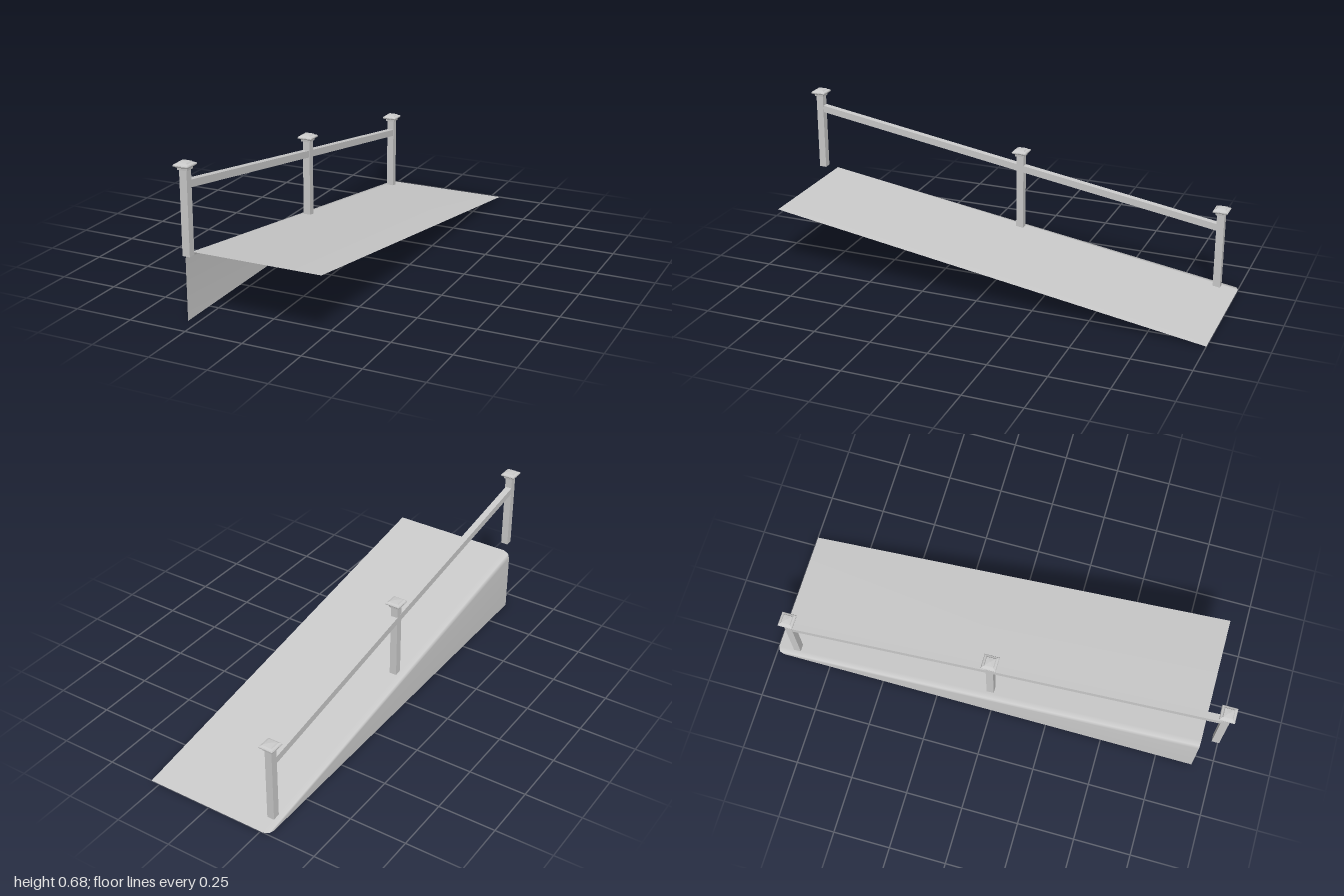
import * as THREE from 'three';

export function createModel() {
  const group = new THREE.Group();
  group.name = 'rampWithHandrail';
  const sheetMat = new THREE.MeshStandardMaterial({ color: 0xcccccc, side: THREE.DoubleSide });
  const postMat = new THREE.MeshStandardMaterial({ color: 0xcccccc, flatShading: true });

  const add = (name, geometry, material, parent = group) => {
    const mesh = new THREE.Mesh(geometry, material);
    mesh.name = name;
    parent.add(mesh);
    return mesh;
  };

  // Ramp: thin sheet lofted from the tall front section to the flat back edge,
  // with a rounded shoulder folding down into the side wall
  const front = [[0.2915, 0.293], [-0.263, 0.293], [-0.2845, 0.282], [-0.2915, 0.26], [-0.2915, 0]];
  const back = [[0.2915, -1], [-0.263, -1], [-0.2845, -0.99], [-0.2915, -0.968]];
  const positions = [];
  front.forEach(([x, y]) => positions.push(x, y, 0.911));
  back.forEach(([x, z]) => positions.push(x, 0, z));
  const index = [];
  const n = front.length;
  for (let i = 0; i < n - 1; i++) {
    index.push(i, n + i, i + 1);
    if (i < back.length - 1) index.push(i + 1, n + i, n + i + 1);
  }
  const ramp = new THREE.BufferGeometry();
  ramp.setAttribute('position', new THREE.Float32BufferAttribute(positions, 3));
  ramp.setIndex(index);
  ramp.computeVertexNormals();
  add('rampSheet', ramp, sheetMat);

  // Posts: square shaft with a four-sided moulded cap
  const postHeight = 0.374, postWidth = 0.032;
  const shaftGeo = new THREE.BoxGeometry(postWidth, postHeight - 0.03, postWidth);
  shaftGeo.translate(0, (postHeight - 0.03) / 2, 0);
  const capProfile = [
    [0, -0.032], [0.021, -0.032], [0.022, -0.022], [0.028, -0.0205], [0.032, -0.017],
    [0.0325, -0.013], [0.030, -0.009], [0.022, -0.006], [0.019, -0.002], [0, 0],
  ].map(([halfWidth, y]) => new THREE.Vector2(halfWidth * Math.SQRT2, y));
  const capGeo = new THREE.LatheGeometry(capProfile, 4, Math.PI / 4);

  const posts = [
    ['frontPost', -0.241, 0.302, 0.968],
    ['middlePost', -0.241, 0.144, -0.012],
    ['backPost', -0.247, 0.002, -0.912],
  ];
  for (const [name, x, y, z] of posts) {
    const post = new THREE.Group();
    post.name = name;
    post.position.set(x, y, z);
    add('postShaft', shaftGeo, postMat, post);
    add('postCap', capGeo, postMat, post).position.y = postHeight;
    group.add(post);
  }

  // Handrail: one sloping bar between each pair of neighbouring posts
  const railPoints = [
    new THREE.Vector3(-0.243, 0.587, 0.968),
    new THREE.Vector3(-0.243, 0.429, -0.012),
    new THREE.Vector3(-0.247, 0.284, -0.912),
  ];
  for (let i = 0; i < railPoints.length - 1; i++) {
    const a = railPoints[i], b = railPoints[i + 1];
    const rail = add('handrail', new THREE.BoxGeometry(0.029, 0.03, a.distanceTo(b)), postMat);
    rail.position.lerpVectors(a, b, 0.5);
    rail.lookAt(b);
  }

  return group;
}
